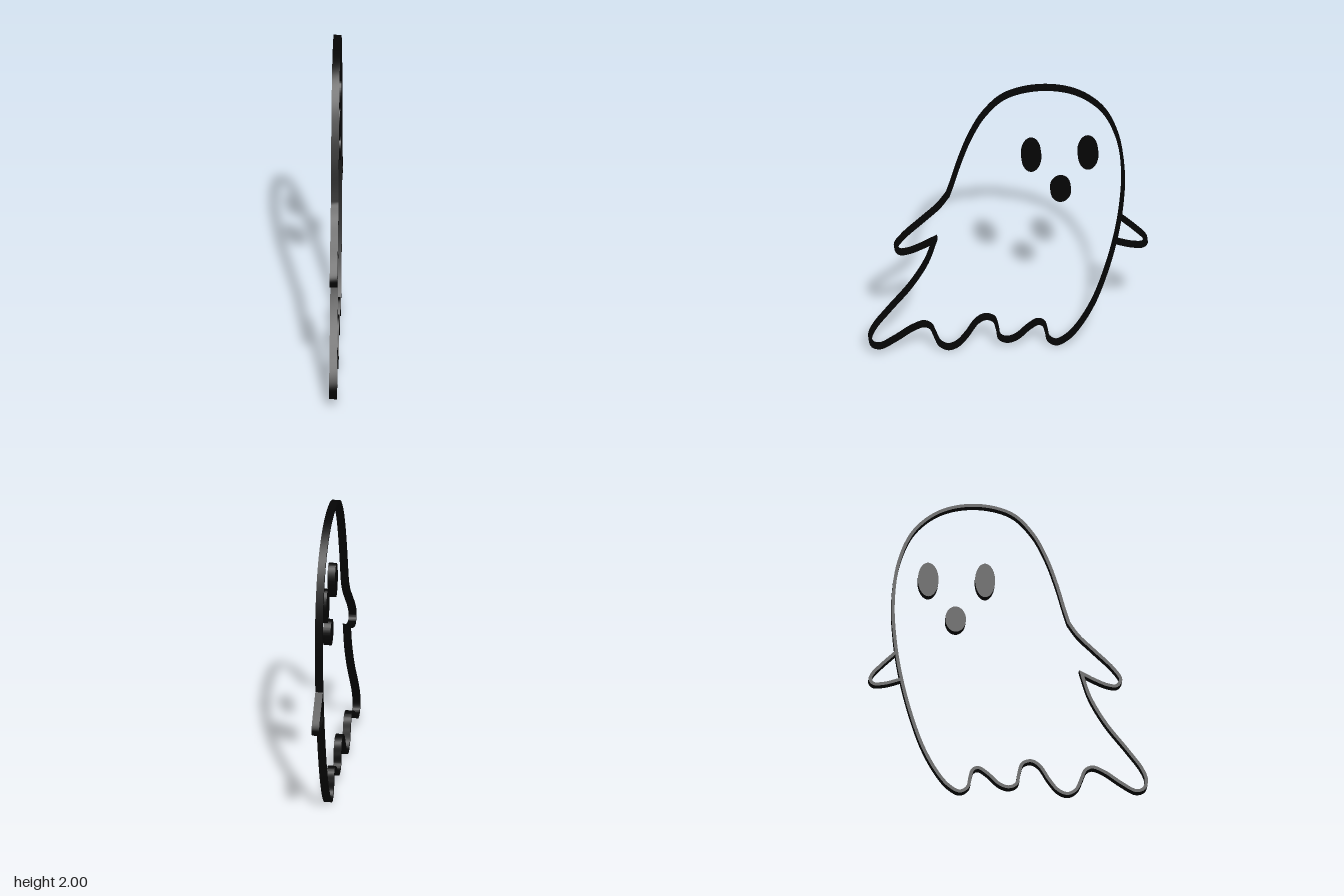
import * as THREE from 'three';
import { toCreasedNormals } from 'three/addons/utils/BufferGeometryUtils.js';

const DEPTH = 0.048;      // thickness along x
const HALF_LINE = 0.0105; // half the width of the outline
const ink = new THREE.MeshStandardMaterial({ color: 0x050505 });

// Sample a smooth curve through [across, up] pairs
function smooth(pairs, steps = 6) {
  const curve = new THREE.CatmullRomCurve3(pairs.map(([a, b]) => new THREE.Vector3(a, b, 0)));
  return curve.getPoints((pairs.length - 1) * steps).map((p) => new THREE.Vector2(p.x, p.y));
}

// Shift a line sideways, with mitred corners
function offset(points, distance, closed) {
  const n = points.length;
  return points.map((p, i) => {
    const prev = points[closed ? (i + n - 1) % n : Math.max(i - 1, 0)];
    const next = points[closed ? (i + 1) % n : Math.min(i + 1, n - 1)];
    let a = p.clone().sub(prev).normalize();
    let b = next.clone().sub(p).normalize();
    if (a.lengthSq() === 0) a = b;
    if (b.lengthSq() === 0) b = a;
    const normal = new THREE.Vector2(-a.y - b.y, a.x + b.x).normalize();
    const miter = 1 / Math.max(normal.dot(new THREE.Vector2(-a.y, a.x)), 0.42);
    return p.clone().addScaledVector(normal, distance * miter);
  });
}

// Extrude a flat shape and turn it so that it lies in the yz plane
function slab(name, shape) {
  let geometry = new THREE.ExtrudeGeometry(shape, { depth: DEPTH, bevelEnabled: false, curveSegments: 40 });
  geometry.translate(0, 0, -DEPTH / 2);
  geometry.rotateY(Math.PI / 2);
  geometry = toCreasedNormals(geometry, 0.6);
  const mesh = new THREE.Mesh(geometry, ink);
  mesh.name = name;
  return mesh;
}

// Front arm, from the armpit round the tip to the shoulder
const frontArm = [
  [-0.458, 0.852], [-0.537, 0.81], [-0.627, 0.774], [-0.68, 0.772], [-0.704, 0.815],
  [-0.659, 0.889], [-0.537, 1.011], [-0.437, 1.111], [-0.378, 1.196],
];

// Head and back, from the shoulder down to the hem
const headAndBack = [
  [-0.378, 1.196], [-0.352, 1.28], [-0.301, 1.46], [-0.237, 1.64], [-0.151, 1.804],
  [-0.019, 1.937], [0.198, 1.988], [0.421, 1.942], [0.59, 1.804], [0.687, 1.587],
  [0.724, 1.312], [0.714, 1.058], [0.679, 0.81], [0.613, 0.534], [0.534, 0.302],
  [0.444, 0.132], [0.375, 0.048], [0.306, 0.011],
];

// Wavy hem, then up the trailing edge to the armpit
const hem = [
  [0.306, 0.011], [0.257, 0.042], [0.241, 0.111], [0.225, 0.161], [0.19, 0.177],
  [0.135, 0.143], [0.056, 0.069], [-0.003, 0.05], [-0.05, 0.074], [-0.066, 0.148],
  [-0.087, 0.214], [-0.14, 0.235], [-0.193, 0.206], [-0.257, 0.106], [-0.315, 0.037],
  [-0.373, 0.016], [-0.426, 0.048], [-0.458, 0.122], [-0.484, 0.183], [-0.526, 0.204],
  [-0.601, 0.175], [-0.712, 0.098], [-0.802, 0.05], [-0.849, 0.066], [-0.865, 0.127],
  [-0.839, 0.201], [-0.749, 0.328], [-0.611, 0.509], [-0.511, 0.688], [-0.458, 0.852],
];

// Small arm behind the back
const backArm = [
  [0.708, 0.957], [0.804, 0.862], [0.857, 0.8], [0.868, 0.764], [0.848, 0.737],
  [0.775, 0.741], [0.677, 0.772],
];

// Face features: name, across, up, radius across, radius up
const face = [
  ['frontEye', 0.147, 1.471, 0.063, 0.116],
  ['backEye', 0.504, 1.466, 0.065, 0.116],
  ['mouth', 0.332, 1.198, 0.065, 0.087],
];

export function createModel() {
  const model = new THREE.Group();
  model.name = 'ghost';

  // Closed body outline; each run drops its last point, shared with the next run
  const body = [frontArm, [...headAndBack, ...hem.slice(1)]].flatMap((run) => smooth(run).slice(0, -1));
  // The outer edge runs clockwise, so the hole is reversed to face its walls inward
  const bodyShape = new THREE.Shape(offset(body, HALF_LINE, true));
  bodyShape.holes.push(new THREE.Path(offset(body, -HALF_LINE, true).reverse()));
  model.add(slab('bodyOutline', bodyShape));

  // Open outline of the back arm
  const arm = smooth(backArm);
  const armShape = new THREE.Shape([
    ...offset(arm, HALF_LINE, false),
    ...offset(arm, -HALF_LINE, false).reverse(),
  ]);
  model.add(slab('backArmOutline', armShape));

  // Eyes and mouth
  for (const [name, across, up, rAcross, rUp] of face) {
    const oval = new THREE.Shape();
    oval.absellipse(across, up, rAcross, rUp, 0, Math.PI * 2);
    model.add(slab(name, oval));
  }
  return model;
}
